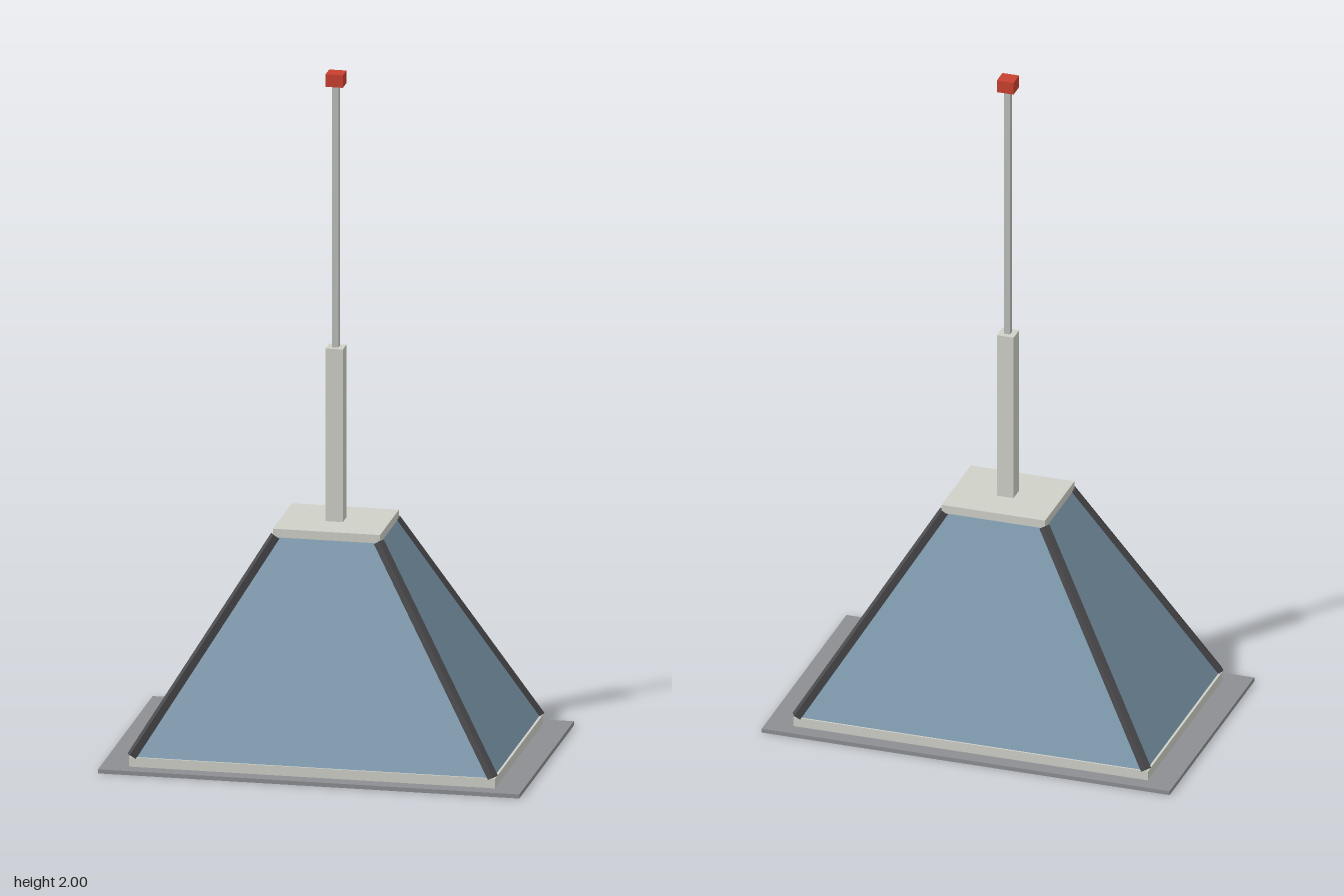
import * as THREE from 'three';

const material = (name, color) => {
  const m = new THREE.MeshStandardMaterial({ color });
  m.name = name;
  return m;
};

export function createModel() {
  const group = new THREE.Group();
  const stone = material('pale stone', 0xcfd0c8);
  const glass = material('blue glass', 0x7d9aae);
  const frame = material('dark frame', 0x4c4c4f);
  const paving = material('grey paving', 0x8c8e92);
  const metal = material('mast metal', 0xbcbebc);
  const red = material('beacon red', 0xc8402f);

  const add = (name, geometry, mat) => {
    const mesh = new THREE.Mesh(geometry, mat);
    mesh.name = name;
    group.add(mesh);
    return mesh;
  };
  // Centred box between two heights
  const block = (name, w, d, y0, y1, mat) => {
    const mesh = add(name, new THREE.BoxGeometry(w, y1 - y0, d), mat);
    mesh.position.y = (y0 + y1) / 2;
    return mesh;
  };

  // Paving as a thin border around the plinth
  const rect = (P, x, z) => new P().moveTo(-x, -z).lineTo(x, -z).lineTo(x, z).lineTo(-x, z).closePath();
  const border = rect(THREE.Shape, 0.61, 0.375);
  border.holes.push(rect(THREE.Path, 0.53, 0.33));
  const pavingGeometry = new THREE.ExtrudeGeometry(border, { depth: 0.012, bevelEnabled: false });
  pavingGeometry.rotateX(-Math.PI / 2);
  add('paving', pavingGeometry, paving);

  block('plinth', 1.06, 0.66, 0, 0.04, stone);

  // Tapered glass body: a box whose top corners move inwards
  const body = new THREE.BoxGeometry(1.046, 0.62, 0.65);
  const p = body.attributes.position;
  for (let i = 0; i < p.count; i++) {
    if (p.getY(i) > 0) {
      p.setX(i, Math.sign(p.getX(i)) * 0.15);
      p.setZ(i, Math.sign(p.getZ(i)) * 0.122);
    }
  }
  body.computeVertexNormals();
  add('glassBody', body, glass).position.y = 0.35;

  // Corner struts along the four sloping edges
  for (const sx of [-1, 1]) {
    for (const sz of [-1, 1]) {
      const foot = new THREE.Vector3(sx * 0.523, 0.042, sz * 0.325);
      const head = new THREE.Vector3(sx * 0.15, 0.657, sz * 0.122);
      const strut = add('cornerStrut', new THREE.BoxGeometry(0.022, 0.022, foot.distanceTo(head)), frame);
      strut.position.copy(foot).lerp(head, 0.5);
      strut.lookAt(head);
    }
  }

  // Roof slab, stepped mast and beacon
  block('roofSlab', 0.31, 0.26, 0.655, 0.68, stone);
  block('lowerMast', 0.05, 0.05, 0.68, 1.19, stone);
  block('upperMast', 0.018, 0.018, 1.19, 1.965, metal);
  block('beacon', 0.05, 0.05, 1.963, 2, red);

  return group;
}
